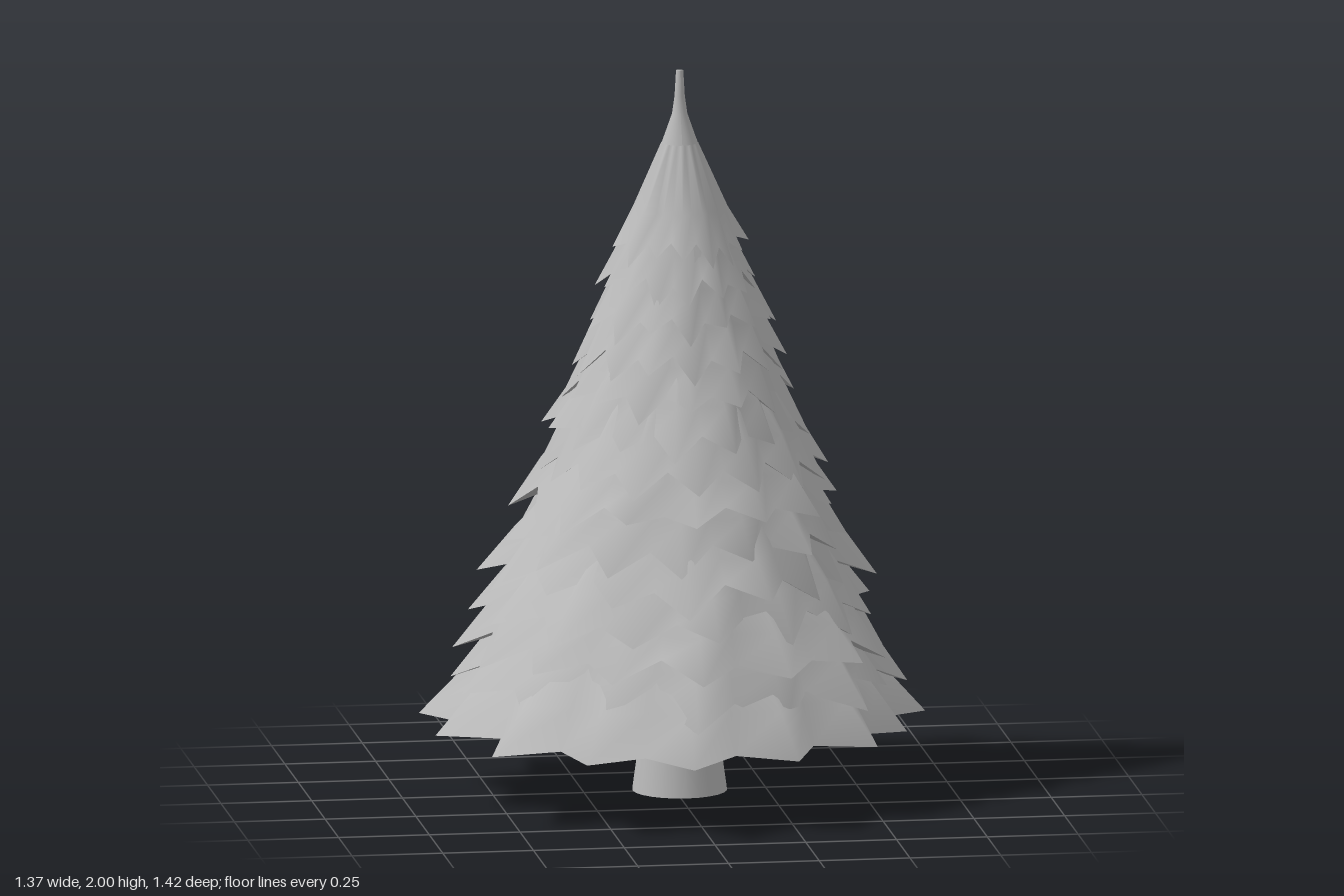
import * as THREE from 'three';

const CENTRE = [0.015, -0.01];
// branch tips of the lowest tier as [x, z]
const TIPS = [
  [-0.05, 0.71], [0.25, 0.63], [0.49, 0.47], [0.6, 0.27], [0.69, 0],
  [0.64, -0.28], [0.48, -0.53], [0.21, -0.64], [-0.06, -0.71], [-0.31, -0.61],
  [-0.51, -0.43], [-0.68, -0.17], [-0.68, 0.14], [-0.57, 0.45], [-0.33, 0.6],
];
const reach = (y) => 0.69 - 0.385 * (y - 0.2);

// small seeded generator, returns -1..1
let seed = 7;
function jitter() {
  seed = (seed * 16807) % 2147483647;
  return (seed / 2147483647) * 2 - 1;
}

// smooth skin through closed rings of [x, y, z] points
function skin(rings) {
  const n = rings[0].length;
  const index = [];
  for (let k = 0; k + 1 < rings.length; k++) {
    for (let i = 0; i < n; i++) {
      const a = k * n + i, b = k * n + (i + 1) % n;
      index.push(a, b, b + n, a, b + n, a + n);
    }
  }
  const g = new THREE.BufferGeometry();
  g.setAttribute('position', new THREE.Float32BufferAttribute(rings.flat(2), 3));
  g.setIndex(index);
  g.computeVertexNormals();
  return g;
}

// one skirt of drooping branches: jagged rim, folded slope and underside
function makeTier(y, first, material) {
  const scale = reach(y) / 0.69;
  const turn = first ? 0 : jitter() * 0.12;
  const c = Math.cos(turn), s = Math.sin(turn);
  const wobble = first ? 0 : 1;
  const tips = TIPS.map(([x, z]) => {
    const k = scale * (1 - wobble * (0.035 + 0.06 * jitter()));
    return [(x * c + z * s) * k, y + wobble * 0.025 * jitter(), (z * c - x * s) * k];
  });

  // tips alternate with valleys drawn in between neighbours
  const rim = [];
  tips.forEach((p, i) => {
    const q = tips[(i + 1) % tips.length];
    const pull = 0.86 + 0.04 * jitter();
    const lift = first ? 0.008 : 0.045 + 0.015 * jitter();
    rim.push(p, [(p[0] + q[0]) / 2 * pull, y + lift, (p[2] + q[2]) / 2 * pull]);
  });

  // ring at height h, blended from the jagged rim towards a circle
  const ring = (h, radius, fold) => rim.map(([x, , z]) => {
    const r = Math.hypot(x, z);
    const k = (radius + (r - 0.9 * reach(y)) * fold) / r;
    return [x * k, h, z * k];
  });
  const shoulder = ring(y + 0.12, reach(y + 0.12) * 0.85, 0.5);
  const crown = ring(y + 0.3, Math.max(0.03, reach(y + 0.3) * 0.68), 0);
  const hub = first ? ring(0.33, 0.07, 0) : ring(y + 0.08, reach(y) * 0.5, 0);

  const tier = new THREE.Group();
  const slope = new THREE.Mesh(skin([rim, shoulder, crown]), material);
  slope.name = 'branchSlope';
  const under = new THREE.Mesh(skin([hub, rim]), material);
  under.name = 'branchUnderside';
  tier.add(slope, under);
  return tier;
}

export function createModel() {
  const model = new THREE.Group();
  model.name = 'pineTree';
  const grey = new THREE.MeshStandardMaterial({ color: 0xb8b8b8 });
  grey.name = 'plainGrey';

  // trunk
  const trunk = new THREE.Mesh(new THREE.CylinderGeometry(0.075, 0.13, 0.4, 24), grey);
  trunk.name = 'trunk';
  trunk.position.set(CENTRE[0], 0.2, CENTRE[1]);
  model.add(trunk);

  // stacked branch tiers
  for (let i = 0; i < 14; i++) {
    const tier = makeTier(0.2 + i * 0.1, i === 0, grey);
    tier.name = 'branchTier' + (i + 1);
    if (i > 0) tier.position.set(CENTRE[0], 0, CENTRE[1]);
    model.add(tier);
  }

  // smooth pointed top
  const profile = [
    [0.16, 1.48], [0.118, 1.6], [0.075, 1.73], [0.042, 1.82],
    [0.021, 1.88], [0.014, 1.93], [0.01, 2], [0, 2],
  ].map(([r, y]) => new THREE.Vector2(r, y));
  const top = new THREE.Mesh(new THREE.LatheGeometry(profile, 30), grey);
  top.name = 'treeTop';
  // scallop the lower edge of the top
  const pos = top.geometry.attributes.position;
  for (let i = 0; i < pos.count; i++) {
    if (pos.getY(i) > 1.5) continue;
    const a = Math.atan2(pos.getX(i), pos.getZ(i));
    const wave = Math.cos(a * 15);
    const k = 1 + 0.06 * wave;
    pos.setXYZ(i, pos.getX(i) * k, 1.49 - 0.02 * wave, pos.getZ(i) * k);
  }
  top.geometry.computeVertexNormals();
  top.position.set(CENTRE[0], 0, CENTRE[1]);
  model.add(top);

  return model;
}
